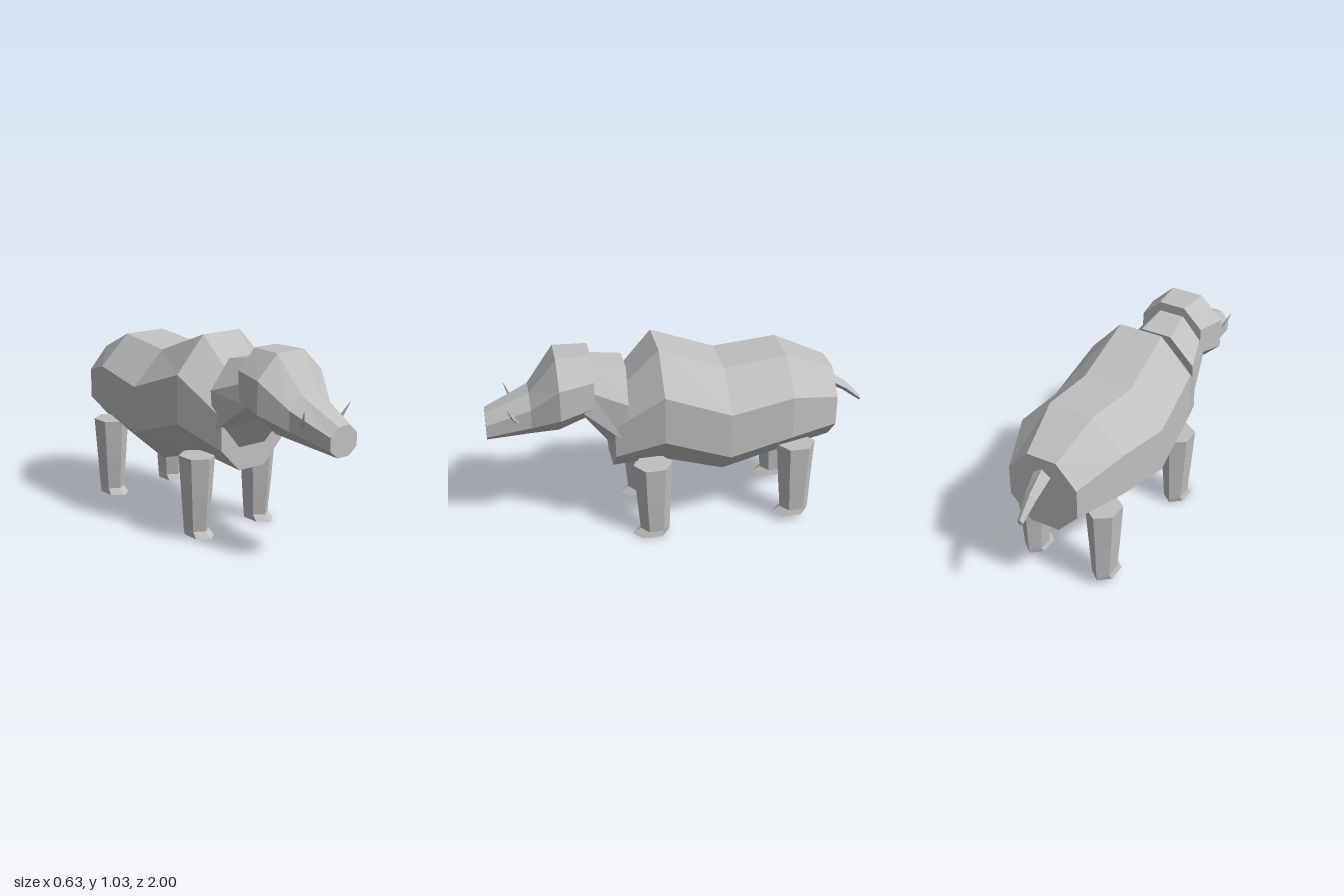
import * as THREE from 'three';

const hide = new THREE.MeshStandardMaterial({ color: 0xc0c0c0, flatShading: true });
hide.name = 'grey hide';

// Skin a closed solid over rings; rings run counterclockwise seen from the last ring's end.
function loft(name, rings) {
  const pos = [];
  const tri = (a, b, c) => pos.push(...a, ...b, ...c);
  const n = rings[0].length;
  for (let i = 0; i < rings.length - 1; i++) {
    for (let j = 0; j < n; j++) {
      const k = (j + 1) % n;
      tri(rings[i][j], rings[i][k], rings[i + 1][k]);
      tri(rings[i][j], rings[i + 1][k], rings[i + 1][j]);
    }
  }
  const first = rings[0], last = rings[rings.length - 1];
  for (let j = 1; j < n - 1; j++) {
    tri(first[0], first[j + 1], first[j]);
    tri(last[0], last[j], last[j + 1]);
  }
  const geo = new THREE.BufferGeometry();
  geo.setAttribute('position', new THREE.Float32BufferAttribute(pos, 3));
  geo.computeVertexNormals();
  const mesh = new THREE.Mesh(geo, hide);
  mesh.name = name;
  return mesh;
}

// Upright eight-sided section: heights and depths listed as [top, upper, lower, bottom].
function octagon(z, [t, u, l, b], half, flat) {
  const [zt, zu, zl, zb] = Array.isArray(z) ? z : [z, z, z, z];
  return [
    [half, l, zl], [half, u, zu], [flat, t, zt], [-flat, t, zt],
    [-half, u, zu], [-half, l, zl], [-flat, b, zb], [flat, b, zb],
  ];
}

// Horizontal section with a corner pointing forward.
function level(x, y, z, rx, rz, sides) {
  return Array.from({ length: sides }, (_, i) => {
    const a = (i / sides) * Math.PI * 2;
    return [x + Math.sin(a) * rx, y, z + Math.cos(a) * rz];
  });
}

// Diamond section for the tail.
const diamond = (z, y, rx, ry) => [[rx, y, z], [0, y + ry, z], [-rx, y, z], [0, y - ry, z]];

// Six-sided tapering leg with a small flared foot.
function leg(name, x, y, z) {
  const s = 0.078 / Math.sin(Math.PI / 3);
  const mesh = loft(name, [
    level(0, 0, 0.017, s * 0.74, 0.098, 6),
    level(0, 0.03, -0.007, s * 0.66, 0.078, 6),
    level(0, 0.22, -0.002, s * 0.84, 0.09, 6),
    level(0, 0.425, 0, s, 0.103, 6),
  ]);
  mesh.position.set(x, y, z);
  return mesh;
}

export function createModel() {
  const model = new THREE.Group();
  model.name = 'animal';

  // Humped body, rump to chest
  model.add(loft('body', [
    octagon(-0.805, [0.82, 0.70, 0.54, 0.42], 0.19, 0.08),
    octagon(-0.54, [0.935, 0.775, 0.545, 0.385], 0.29, 0.12),
    octagon(-0.21, [0.9, 0.725, 0.48, 0.305], 0.315, 0.13),
    octagon(0.125, [1.03, 0.845, 0.59, 0.405], 0.29, 0.12),
    octagon(0.365, [0.775, 0.655, 0.485, 0.365], 0.2, 0.083),
  ]));

  // Slanted neck
  model.add(loft('neck', [
    octagon([0.285, 0.297, 0.32, 0.365], [0.93, 0.785, 0.58, 0.487], 0.215, 0.085),
    octagon([0.46, 0.465, 0.52, 0.5], [0.96, 0.845, 0.742, 0.66], 0.17, 0.07),
  ]));

  // Head tapering to a blunt snout
  model.add(loft('head', [
    octagon([0.46, 0.46, 0.46, 0.5], [1.01, 0.91, 0.765, 0.66], 0.175, 0.072),
    octagon(0.635, [1.01, 0.893, 0.73, 0.615], 0.21, 0.087),
    octagon(0.775, [0.825, 0.765, 0.665, 0.592], 0.133, 0.055),
    octagon(1.0, [0.72, 0.675, 0.61, 0.57], 0.086, 0.036),
  ]));

  // Drooping tail
  model.add(loft('tail', [
    diamond(-1.0, 0.575, 0.017, 0.016),
    diamond(-0.91, 0.655, 0.033, 0.03),
    diamond(-0.79, 0.735, 0.05, 0.035),
  ]));

  for (const [side, s] of [['left', 1], ['right', -1]]) {
    model.add(leg(side + 'FrontLeg', s * 0.205, 0, 0.175));
    model.add(leg(side + 'HindLeg', s * 0.205, 0.035, -0.588));

    // Small tusk curving up beside the snout
    model.add(loft(side + 'Tusk', [
      level(s * 0.11, 0.69, 0.84, 0.012, 0.012, 4),
      level(s * 0.13, 0.725, 0.862, 0.011, 0.011, 4),
      level(s * 0.15, 0.785, 0.89, 0.002, 0.002, 4),
    ]));
  }
  return model;
}
